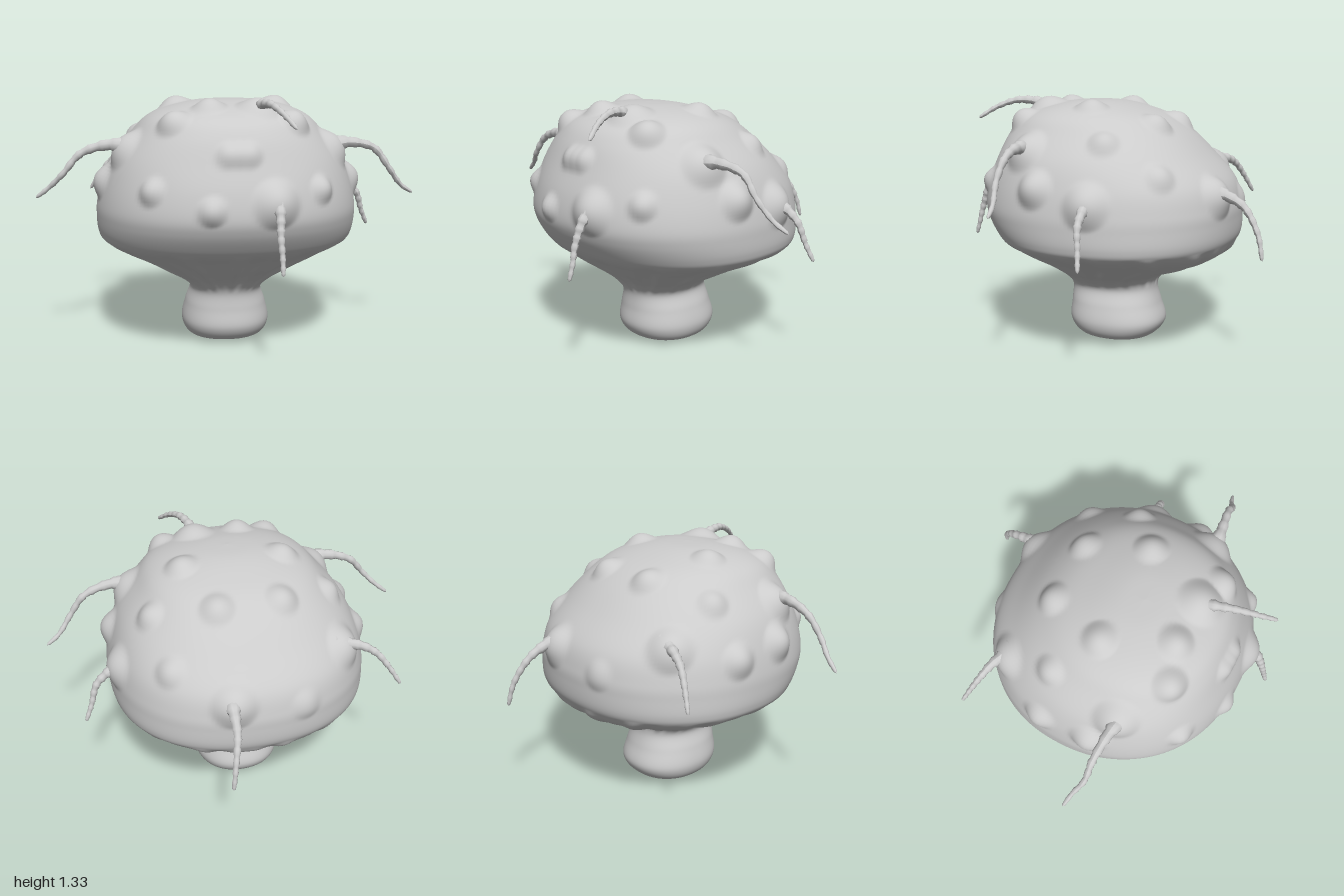
import * as THREE from 'three';

const AROUND = 220, ROWS = 160;
const material = new THREE.MeshStandardMaterial({ color: 0xcccccc });

// Body cross-sections from foot to crown: [height, half width, front z, back z]
const sections = [
  [0, 0, 0.02, 0.02], [0.005, 0.14, 0.16, -0.12], [0.03, 0.21, 0.25, -0.19],
  [0.1, 0.24, 0.3, -0.235], [0.2, 0.22, 0.295, -0.21], [0.29, 0.195, 0.295, -0.19],
  [0.35, 0.25, 0.33, -0.21], [0.4, 0.34, 0.385, -0.3], [0.46, 0.45, 0.47, -0.47],
  [0.52, 0.58, 0.55, -0.575], [0.57, 0.665, 0.62, -0.615], [0.62, 0.69, 0.665, -0.635],
  [0.7, 0.695, 0.715, -0.64], [0.78, 0.69, 0.735, -0.635], [0.9, 0.66, 0.715, -0.595],
  [1.03, 0.6, 0.665, -0.48], [1.15, 0.5, 0.61, -0.36], [1.23, 0.42, 0.54, -0.24],
  [1.28, 0.31, 0.42, -0.1], [1.31, 0.16, 0.28, 0.03], [1.318, 0, 0.16, 0.16],
];

// Warts: [x, y, z, radius, height]
const warts = [
  [-0.47, 1.12, -0.11, 0.09, 0.035], [0.48, 1.12, -0.11, 0.09, 0.035],
  [0.45, 0.97, -0.39, 0.09, 0.03], [-0.2, 0.8, -0.62, 0.09, 0.02],
  [-0.12, 1.28, 0.39, 0.1, 0.045], [-0.13, 0.82, 0.73, 0.08, 0.035],
  [-0.05, 1.08, 0.64, 0.075, 0.03], [0, 1.08, 0.64, 0.075, 0.03], [0.05, 1.08, 0.64, 0.075, 0.03],
  [-0.66, 0.87, -0.09, 0.1, 0.04],
];
for (const s of [-1, 1]) {
  warts.push([s * 0.165, 1.23, -0.28, 0.1, 0.04], [s * 0.275, 1.28, 0.055, 0.1, 0.04],
    [s * 0.3, 1.22, 0.45, 0.1, 0.045], [s * 0.43, 0.9, 0.6, 0.08, 0.035],
    [s * 0.67, 0.9, 0.2, 0.11, 0.05]);
}

// Tendrils: path from inside the cap to the drooping tip
const tendrils = {
  upperLeftTendril: [[0.5, 1.08, 0.31], [0.62, 1.095, 0.3], [0.76, 1.06, 0.28], [0.84, 0.96, 0.28], [0.92, 0.86, 0.25], [0.995, 0.81, 0.23]],
  upperRightTendril: [[-0.5, 1.08, 0.31], [-0.62, 1.095, 0.29], [-0.76, 1.05, 0.28], [-0.85, 0.95, 0.28], [-0.92, 0.88, 0.25], [-0.995, 0.82, 0.23]],
  crownTendril: [[0.13, 1.25, 0.37], [0.13, 1.295, 0.44], [0.16, 1.31, 0.56], [0.2, 1.275, 0.67], [0.25, 1.21, 0.77]],
  frontTendril: [[0.18, 0.87, 0.68], [0.18, 0.83, 0.75], [0.175, 0.7, 0.81], [0.18, 0.62, 0.83], [0.18, 0.535, 0.855]],
  sideTendril: [[0.63, 0.86, -0.1], [0.71, 0.82, -0.11], [0.78, 0.76, -0.12], [0.82, 0.65, -0.14], [0.86, 0.56, -0.16]],
  backTendril: [[0.18, 0.87, -0.57], [0.19, 0.855, -0.66], [0.2, 0.805, -0.75], [0.23, 0.68, -0.83], [0.25, 0.555, -0.86]],
  backRightTendril: [[-0.43, 0.96, -0.37], [-0.54, 0.96, -0.42], [-0.62, 0.92, -0.45], [-0.68, 0.85, -0.48], [-0.75, 0.74, -0.52]],
};

function createBody() {
  const spline = (f) => new THREE.CatmullRomCurve3(sections.map(f), false, 'catmullrom', 0.5);
  const outline = spline(([y, w, zf]) => new THREE.Vector3(w, y, zf));
  const backLine = spline(([y, , , zb]) => new THREE.Vector3(zb, y, 0));
  const pos = [], index = [];

  for (let j = 0; j <= ROWS; j++) {
    const p = outline.getPoint(j / ROWS), zb = backLine.getPoint(j / ROWS).x;
    // Radial gills fade in between neck and rim
    const gill = 0.035 * Math.max(0, Math.sin(Math.PI * THREE.MathUtils.clamp((p.y - 0.3) / 0.28, 0, 1)));
    for (let i = 0; i < AROUND; i++) {
      const a = (i / AROUND) * Math.PI * 2, c = Math.cos(a), s = Math.sin(a);
      const square = Math.pow(Math.abs(c) ** 2.2 + Math.abs(s) ** 2.2, -1 / 2.2);
      const ripple = 1 + gill * (Math.sin(a * 17) * 0.6 + Math.sin(a * 29 + 1) * 0.4);
      const k = square * ripple;
      pos.push(p.x * c * k, Math.max(0, p.y), (p.z + zb) / 2 + ((p.z - zb) / 2) * s * k);
      if (j < ROWS) {
        const n = (i + 1) % AROUND, r = j * AROUND, u = r + AROUND;
        index.push(r + i, u + i, r + n, r + n, u + i, u + n);
      }
    }
  }
  const geo = new THREE.BufferGeometry();
  geo.setAttribute('position', new THREE.Float32BufferAttribute(pos, 3));
  geo.setIndex(index);
  geo.computeVertexNormals();

  // Swell the skin at each wart and at the root of each tendril
  const P = geo.attributes.position, N = geo.attributes.normal;
  const swells = [...warts, ...Object.values(tendrils).map((t) => [
    ...t[0].map((v, k) => (v + t[1][k]) / 2), 0.13, 0.05])];
  const push = new Float32Array(P.count), v = new THREE.Vector3();
  for (const [x, y, z, radius, height] of swells) {
    const target = new THREE.Vector3(x, y, z), centre = new THREE.Vector3();
    let best = Infinity;
    for (let i = 0; i < P.count; i++) {
      const d = v.fromBufferAttribute(P, i).distanceToSquared(target);
      if (d < best) { best = d; centre.copy(v); }
    }
    for (let i = 0; i < P.count; i++) {
      const q = v.fromBufferAttribute(P, i).distanceToSquared(centre) / radius ** 2;
      if (q < 1) push[i] = Math.max(push[i], height * (1 - q) ** 1.6);
    }
  }
  for (let i = 0; i < P.count; i++) {
    v.fromBufferAttribute(N, i).multiplyScalar(push[i]);
    P.setXYZ(i, P.getX(i) + v.x, P.getY(i) + v.y, P.getZ(i) + v.z);
  }
  geo.computeVertexNormals();
  return geo;
}

// Tapered, slightly knobbly tube that flares at its root
function createTendril(points) {
  const steps = 44, sides = 10;
  const curve = new THREE.CatmullRomCurve3(points.map((p) => new THREE.Vector3(...p)));
  const geo = new THREE.TubeGeometry(curve, steps, 1, sides);
  const P = geo.attributes.position, v = new THREE.Vector3();
  for (let j = 0; j <= steps; j++) {
    const t = j / steps, centre = curve.getPointAt(t);
    const knob = 1 + 0.12 * Math.sin(j * 1.3) + 0.08 * Math.sin(j * 2.9);
    const r = j === steps ? 0 : (0.01 + 0.015 * (1 - t)) * knob + 0.04 * Math.exp(-t * 9);
    for (let i = 0; i <= sides; i++) {
      const k = j * (sides + 1) + i;
      v.fromBufferAttribute(P, k).sub(centre).multiplyScalar(r).add(centre);
      P.setXYZ(k, v.x, v.y, v.z);
    }
  }
  geo.computeVertexNormals();
  return geo;
}

export function createModel() {
  const model = new THREE.Group();
  model.name = 'wartyMushroom';
  const add = (name, geo) => {
    const mesh = new THREE.Mesh(geo, material);
    mesh.name = name;
    model.add(mesh);
  };
  add('capAndStem', createBody());
  for (const [name, points] of Object.entries(tendrils)) add(name, createTendril(points));
  return model;
}
